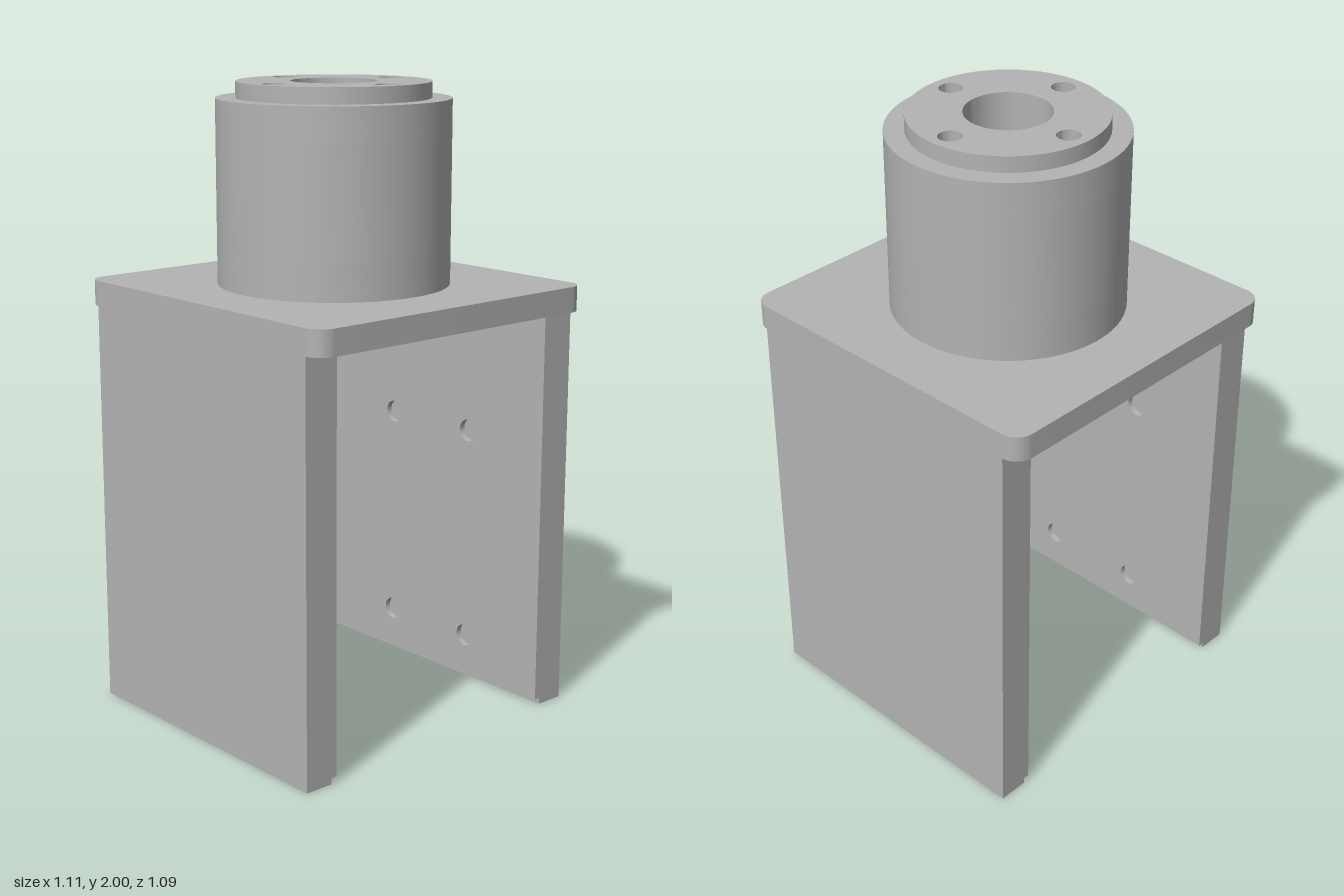
import * as THREE from 'three';
import { toCreasedNormals } from 'three/addons/utils/BufferGeometryUtils.js';

const grey = new THREE.MeshStandardMaterial({ color: 0xb3b3b3 });
grey.name = 'machined grey';

function circle(r, x = 0, y = 0, Kind = THREE.Path) {
  const c = new Kind();
  c.absarc(x, y, r, 0, Math.PI * 2, false);
  return c;
}

function roundedRect(w, h, r) {
  const s = new THREE.Shape();
  s.absarc(w - r, h - r, r, 0, Math.PI / 2);
  s.absarc(r - w, h - r, r, Math.PI / 2, Math.PI);
  s.absarc(r - w, r - h, r, Math.PI, Math.PI * 1.5);
  s.absarc(w - r, r - h, r, Math.PI * 1.5, Math.PI * 2);
  return s;
}

function extrude(shape, depth) {
  const g = new THREE.ExtrudeGeometry(shape, { depth, bevelEnabled: false, curveSegments: 48 });
  return toCreasedNormals(g, 0.6);
}

function add(parent, name, geometry) {
  const mesh = new THREE.Mesh(geometry, grey);
  mesh.name = name;
  parent.add(mesh);
  return mesh;
}

export function createModel() {
  const model = new THREE.Group();
  model.name = 'clevisMount';

  // Horizontal slab pierced by a central bore and four bolt holes
  function layer(name, shape, y0, y1, boreR, boltR) {
    shape.holes.push(circle(boreR));
    for (const [x, y] of [[1, 0], [-1, 0], [0, 1], [0, -1]]) {
      shape.holes.push(circle(boltR, x * 0.235, y * 0.235));
    }
    add(model, name, extrude(shape, y1 - y0).rotateX(-Math.PI / 2)).position.y = y0;
  }
  const disc = (r) => circle(r, 0, 0, THREE.Shape);

  // Plate and hub: wide bolt pockets from below, wide bore from above
  layer('topPlate', roundedRect(0.557, 0.545, 0.06), 1.3, 1.38, 0.074, 0.066);
  layer('hubBase', disc(0.362), 1.38, 1.5, 0.074, 0.066);
  layer('hubBody', disc(0.362), 1.5, 1.85, 0.132, 0.066);
  layer('hubCap', disc(0.362), 1.85, 1.95, 0.132, 0.036);
  layer('hubBoss', disc(0.3), 1.95, 2, 0.132, 0.036);

  // Two legs, each with a drilled liner on the inner face that stops short of the foot
  for (const side of [1, -1]) {
    const leg = new THREE.Group();
    leg.name = side > 0 ? 'frontLeg' : 'backLeg';
    if (side < 0) leg.rotation.y = Math.PI;
    model.add(leg);

    add(leg, 'legPlate', new THREE.BoxGeometry(1, 1.3, 0.095)).position.set(0, 0.65, 0.4975);

    const face = new THREE.Shape();
    face.moveTo(-0.5, 0.02).lineTo(0.5, 0.02).lineTo(0.5, 1.3).lineTo(-0.5, 1.3).closePath();
    for (const x of [-0.175, 0.175]) {
      for (const y of [0.15, 0.86]) face.holes.push(circle(0.036, x, y));
    }
    add(leg, 'legLiner', extrude(face, 0.02)).position.z = 0.43;
  }
  return model;
}
